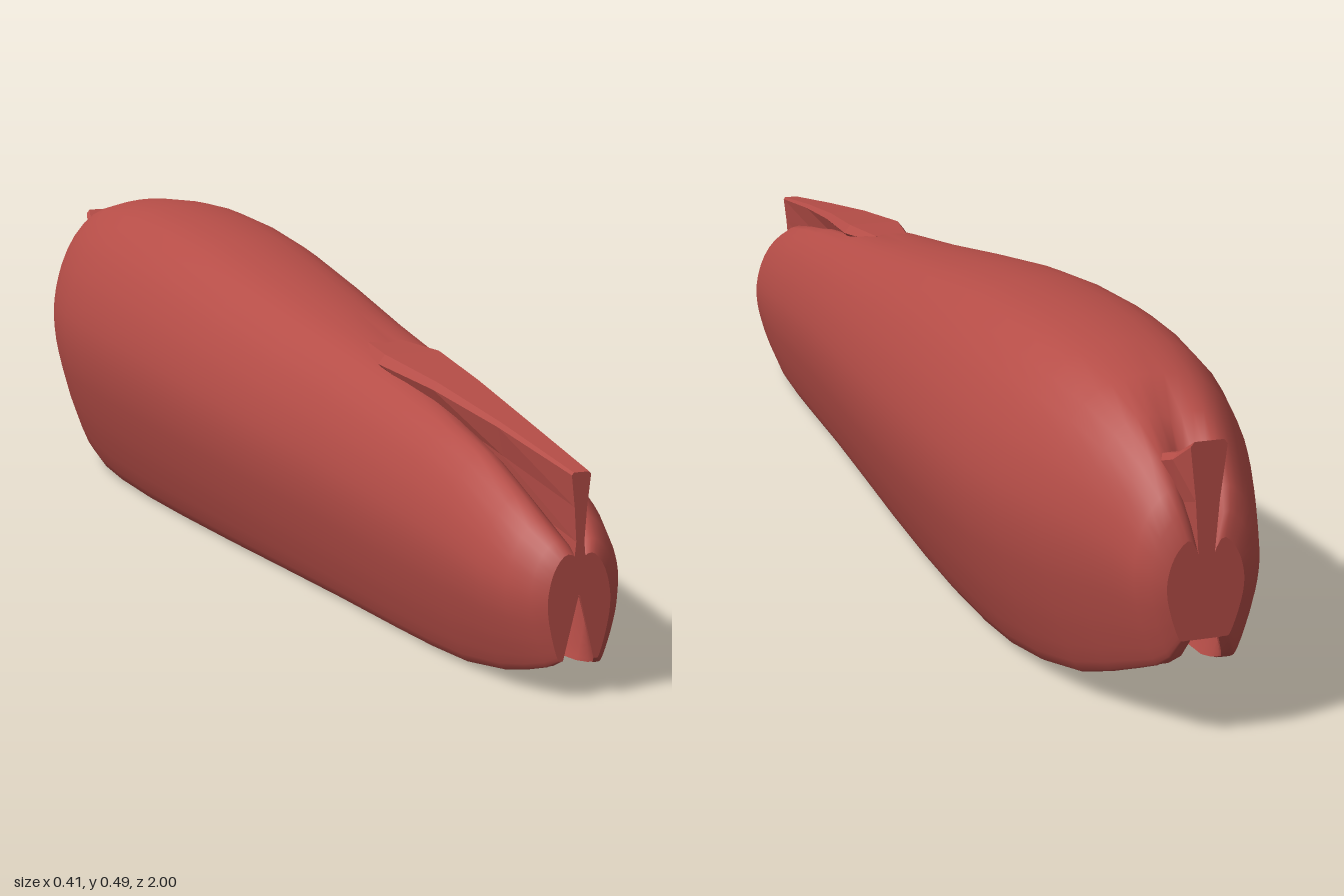
import * as THREE from 'three';

// Surface through rows of points; front side follows row direction x column direction
function sheet(rows, { flip = false, flat = false } = {}) {
  const n = rows[0].length, index = [];
  for (let i = 0; i < rows.length - 1; i++) {
    for (let j = 0; j < n - 1; j++) {
      const a = i * n + j, b = a + n, c = a + 1, d = b + 1;
      index.push(...(flip ? [a, c, b, b, c, d] : [a, b, c, b, d, c]));
    }
  }
  let g = new THREE.BufferGeometry();
  g.setAttribute('position', new THREE.Float32BufferAttribute(rows.flat(2), 3));
  g.setIndex(index);
  if (flat) g = g.toNonIndexed();
  g.computeVertexNormals();
  return g;
}

// Hull stations: z, half width, top, bottom, centre valley, cavity width ratio, cavity height ratio
const STATIONS = [
  [1, 0.046, 0.2, 0.052, 0.1, 0.78, 0.62],
  [0.985, 0.064, 0.217, 0.042, 0.13, 0.74, 0.64],
  [0.95, 0.084, 0.24, 0.031, 0.17, 0.76, 0.7],
  [0.9, 0.098, 0.267, 0.019, 0.19, 0.8, 0.78],
  [0.8, 0.112, 0.307, 0.005, 0.17, 0.85, 0.86],
  [0.7, 0.12, 0.328, 0.001, 0.12, 0.87, 0.9],
  [0.6, 0.127, 0.345, 0, 0.07, 0.87, 0.92],
  [0.4, 0.141, 0.375, 0, 0, 0.87, 0.94],
  [0.2, 0.16, 0.403, 0, 0, 0.88, 0.94],
  [0, 0.18, 0.435, 0, 0, 0.88, 0.95],
  [-0.2, 0.196, 0.465, 0, 0, 0.88, 0.95],
  [-0.35, 0.203, 0.48, 0, 0, 0.88, 0.95],
  [-0.5, 0.204, 0.487, 0.002, 0, 0.88, 0.95],
  [-0.6, 0.198, 0.485, 0.006, 0, 0.88, 0.95],
  [-0.7, 0.184, 0.477, 0.018, 0, 0.87, 0.94],
  [-0.8, 0.157, 0.458, 0.038, 0, 0.85, 0.9],
  [-0.87, 0.13, 0.43, 0.064, 0.04, 0.82, 0.84],
  [-0.93, 0.106, 0.395, 0.09, 0.16, 0.76, 0.74],
  [-0.97, 0.09, 0.36, 0.108, 0.34, 0.68, 0.6],
  [-0.99, 0.074, 0.33, 0.125, 0.46, 0.62, 0.5],
  [-1, 0.055, 0.295, 0.15, 0.5, 0.58, 0.45],
];

// Half cross-section as fractions of half width and height, rim to crown
const PROFILE = [
  [0.63, 0.008], [0.68, 0.04], [0.745, 0.1], [0.81, 0.172], [0.86, 0.23], [0.905, 0.295],
  [0.945, 0.355], [0.975, 0.415], [0.993, 0.475], [1, 0.534], [0.99, 0.59], [0.967, 0.645],
  [0.935, 0.695], [0.895, 0.745], [0.82, 0.812], [0.73, 0.869], [0.61, 0.923], [0.49, 0.959],
  [0.37, 0.98], [0.25, 0.991], [0.12, 0.998], [0, 1],
];
// Rounded lower edge turning inward
const CURL = [[0.56, 0.01], [0.59, 0]];

const mirrorArch = (half) => [
  ...half,
  ...half.slice(0, -1).reverse().map(([x, y, z]) => [-x, y, z]),
];

// Height fraction lowered near the centre line where a valley parts the lobes
const dipped = (fx, fy, valley) =>
  fy > 0.9 ? fy - valley * Math.max(0, 1 - fx / 0.5) ** 2 : fy;

// Outside arch from the +x rim over the crown to the -x rim
function outerArch([z, w, top, bottom, valley]) {
  return mirrorArch([...CURL, ...PROFILE].map(([fx, fy]) => [
    fx * w, bottom + (top - bottom) * dipped(fx, fy, valley), z,
  ]));
}

// Cavity arch: round along the middle, pinched to a narrow wedge at both ends
function innerArch([z, w, top, bottom, valley, kx, ky]) {
  const pinch = THREE.MathUtils.clamp((0.85 - ky) / 0.22, 0, 1);
  return mirrorArch(PROFILE.map(([fx, fy]) => [
    THREE.MathUtils.lerp(fx, 0.63 * (1 - fy), pinch) * w * kx,
    bottom + (top - bottom) * dipped(fx, fy, valley) * ky,
    z,
  ]));
}

// Concave-sided blade lofted along z; each row: z, half width, top, bottom
function blade(rows) {
  const rings = rows.map(([z, w, top, bottom]) => {
    const mid = bottom + (top - bottom) * 0.4;
    const right = [
      [w * 0.85, bottom, z], [w * 0.42, mid, z],
      [w * 0.65, mid + (top - mid) * 0.5, z], [w, top - w * 0.25, z], [w * 0.8, top, z],
    ];
    const left = right.map(([x, y, q]) => [-x, y, q]).reverse();
    return [...right, ...left, right[0]];
  });
  const closed = (ring) => ring.map(([, y, z]) => [0, y, z]);
  return sheet([closed(rings[0]), ...rings, closed(rings[rings.length - 1])], { flat: true });
}

// Flat end wall between the outside and the cavity; the curl joins the cavity's first point
function endWall(outer, inner, flip) {
  const pad = CURL.map(() => inner[0]);
  const padEnd = CURL.map(() => inner[inner.length - 1]);
  return sheet([[...pad, ...inner, ...padEnd], outer], { flip });
}

export function createModel() {
  const model = new THREE.Group();
  model.name = 'upturnedHull';
  const red = new THREE.MeshStandardMaterial({ color: 0xb54d47, side: THREE.DoubleSide });
  red.name = 'hull red';
  const add = (name, geometry) => {
    const mesh = new THREE.Mesh(geometry, red);
    mesh.name = name;
    model.add(mesh);
  };

  // Hollow shell: outside, inside, rims and end walls
  const outer = STATIONS.map(outerArch);
  const inner = STATIONS.map(innerArch);
  const last = STATIONS.length - 1;
  add('outerShell', sheet(outer));
  add('innerShell', sheet(inner, { flip: true }));
  add('leftRim', sheet(outer.map((r, i) => [inner[i][0], r[0]])));
  add('rightRim', sheet(outer.map((r, i) => [r.at(-1), inner[i].at(-1)])));
  add('frontEnd', endWall(outer[0], inner[0], false));
  add('backEnd', endWall(outer[last], inner[last], true));

  // Ridge rising between the front lobes
  add('frontFin', blade([
    [1, 0.014, 0.305, 0.15],
    [0.8, 0.025, 0.336, 0.18],
    [0.62, 0.039, 0.361, 0.22],
    [0.46, 0.054, 0.377, 0.27],
    [0.36, 0.034, 0.379, 0.3],
  ]));

  // Upright tab at the back, narrowing towards its tip
  add('backTab', blade([
    [-0.92, 0.042, 0.386, 0.19],
    [-0.965, 0.036, 0.4, 0.17],
    [-1, 0.026, 0.424, 0.15],
  ].reverse().map(([z, ...rest]) => [z, ...rest]).reverse()));
  return model;
}
